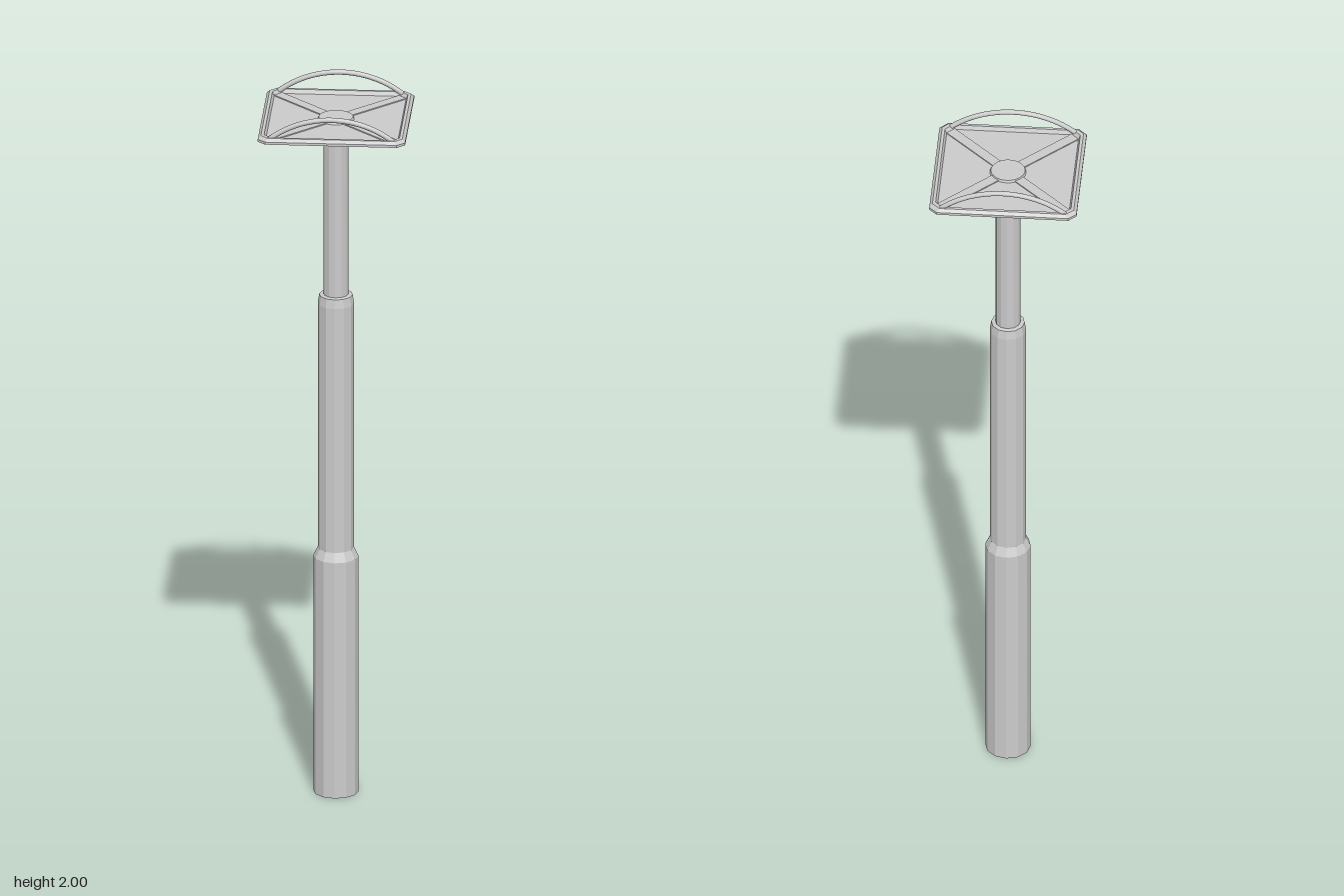
import * as THREE from 'three';

const flat = new THREE.MeshStandardMaterial({ color: 0xcccccc, flatShading: true });
const smooth = new THREE.MeshStandardMaterial({ color: 0xcccccc });

function add(parent, name, geometry, material = flat) {
  const mesh = new THREE.Mesh(geometry, material);
  mesh.name = name;
  parent.add(mesh);
  return mesh;
}

// Square with cut corners, counter-clockwise seen from above
function cutSquare(half, cut) {
  const a = half - cut, h = half;
  return [[-a, h], [a, h], [h, a], [h, -a], [a, -h], [-a, -h], [-h, -a], [-h, a]];
}

// Joins cut squares given as [half width, height, corner cut]
function loftGeometry(sections) {
  const pos = [], index = [];
  sections.forEach(([half, y, cut]) =>
    cutSquare(half, cut).forEach(([x, z]) => pos.push(x, y, z)));
  for (let i = 0; i < sections.length - 1; i++) {
    for (let j = 0; j < 8; j++) {
      const a = i * 8 + j, b = i * 8 + (j + 1) % 8;
      index.push(a, b, b + 8, a, b + 8, a + 8);
    }
  }
  const g = new THREE.BufferGeometry();
  g.setAttribute('position', new THREE.Float32BufferAttribute(pos, 3));
  g.setIndex(index);
  g.computeVertexNormals();
  return g;
}

export function createModel() {
  const model = new THREE.Group();
  model.name = 'telescopicPost';

  // Three telescoping pole sections with tapered shoulders
  const sections = [
    ['lowerPole', [[0, 0], [0.061, 0], [0.061, 0.675], [0.049, 0.7]]],
    ['middlePole', [[0.049, 0.7], [0.049, 1.4], [0.045, 1.425], [0.034, 1.427]]],
    ['upperPole', [[0.034, 1.427], [0.034, 1.925]]],
  ];
  for (const [name, profile] of sections) {
    add(model, name, new THREE.LatheGeometry(profile.map(p => new THREE.Vector2(...p)), 12));
  }

  // Collar under the plate
  add(model, 'collar', new THREE.CylinderGeometry(0.049, 0.046, 0.013, 32)).position.y = 1.9165;

  // Shallow tray with a bevelled rim
  const tray = new THREE.Group();
  tray.name = 'tray';
  model.add(tray);
  add(tray, 'trayBody', loftGeometry([
    [0.001, 1.919, 0.0002], [0.19, 1.922, 0.02], [0.198, 1.925, 0.021],
    [0.198, 1.932, 0.021], [0.19, 1.94, 0.02], [0.182, 1.94, 0.02],
    [0.177, 1.929, 0.02], [0.001, 1.929, 0.0002],
  ]));

  // Low diagonal ribs from the hub to the corners
  for (let i = 0; i < 4; i++) {
    const angle = Math.PI / 4 + i * Math.PI / 2;
    const rib = add(tray, 'rib', new THREE.BoxGeometry(0.196, 0.004, 0.029));
    rib.position.set(Math.cos(angle) * 0.138, 1.93, -Math.sin(angle) * 0.138);
    rib.rotation.y = angle;
  }

  // Raised round hub
  add(tray, 'hub', new THREE.CylinderGeometry(0.046, 0.049, 0.007, 32)).position.y = 1.932;

  // Arched rails along the front and back edges
  const halfSpan = 0.169, rise = 0.06, base = 1.933;
  const radius = (halfSpan ** 2 + rise ** 2) / (2 * rise);
  const sweep = Math.asin(halfSpan / radius);
  const points = [];
  for (let i = 0; i <= 16; i++) {
    const a = -sweep + 2 * sweep * i / 16;
    points.push(new THREE.Vector3(
      radius * Math.sin(a), base + rise - radius + radius * Math.cos(a), 0));
  }
  const railGeometry = new THREE.TubeGeometry(
    new THREE.CatmullRomCurve3(points), 32, 0.007, 10);
  for (const side of [-1, 1]) {
    add(tray, side > 0 ? 'frontRail' : 'backRail', railGeometry, smooth).position.z = side * 0.181;
  }
  return model;
}
